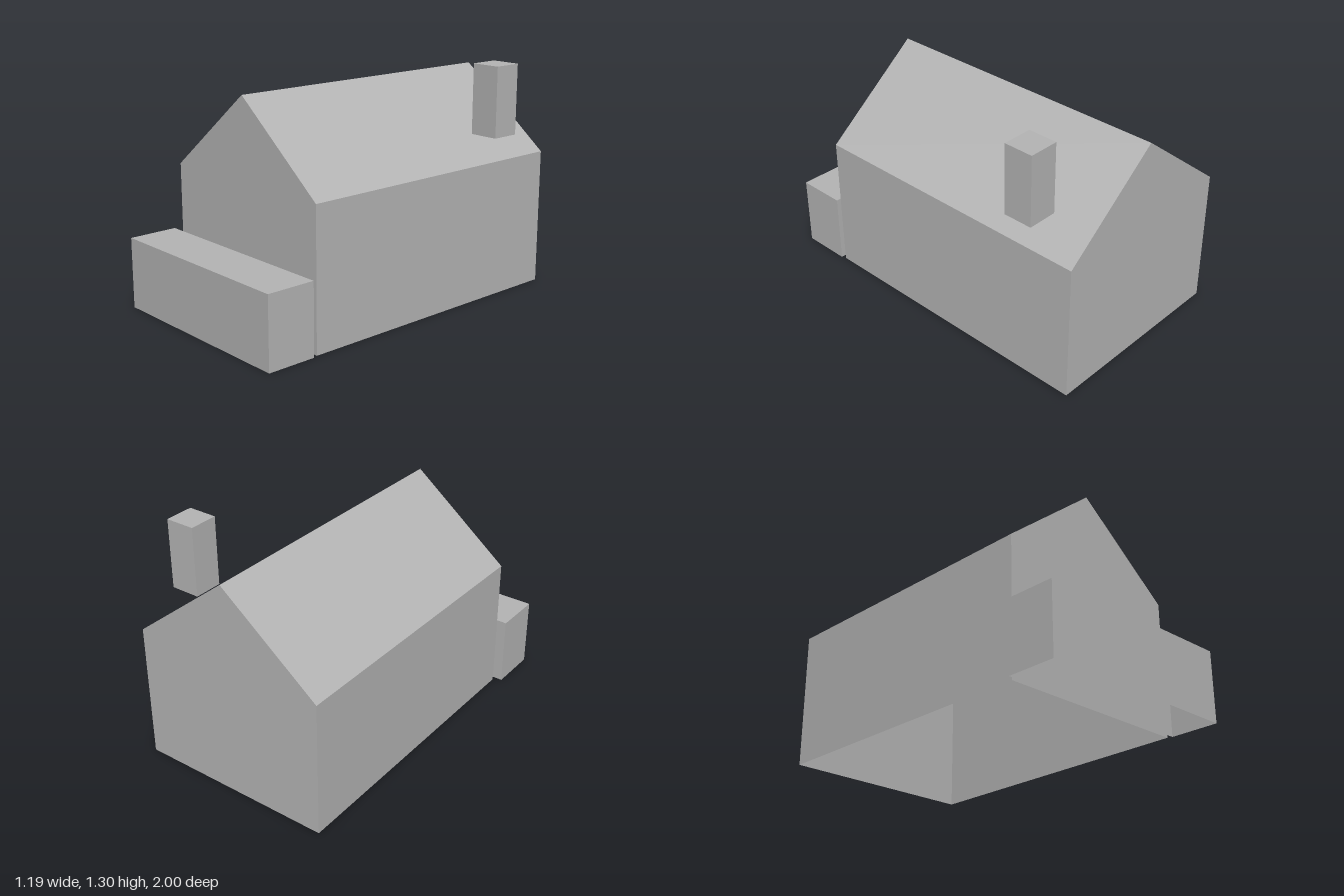
import * as THREE from 'three';
import { mergeGeometries } from 'three/addons/utils/BufferGeometryUtils.js';

// Hollow shell with an open underside: the profile runs counterclockwise
// from bottom right to bottom left and is swept from zBack to zFront.
function openShell(profile, zBack, zFront) {
  const shape = new THREE.Shape(profile.map(([x, y]) => new THREE.Vector2(x, y)));
  const front = new THREE.ShapeGeometry(shape).toNonIndexed().translate(0, 0, zFront);
  const back = new THREE.ShapeGeometry(shape).toNonIndexed();
  back.rotateY(Math.PI).scale(1, 1, 1);
  // Mirror the back outline so that it matches the front after turning
  const mirrored = new THREE.Shape(profile.map(([x, y]) => new THREE.Vector2(-x, y)).reverse());
  const rear = new THREE.ShapeGeometry(mirrored).toNonIndexed().rotateY(Math.PI).translate(0, 0, zBack);
  back.dispose();

  // Walls and roof planes between the two ends
  const sides = [];
  for (let i = 0; i < profile.length - 1; i++) {
    const [ax, ay] = profile[i];
    const [bx, by] = profile[i + 1];
    sides.push(ax, ay, zFront, ax, ay, zBack, bx, by, zBack);
    sides.push(ax, ay, zFront, bx, by, zBack, bx, by, zFront);
  }
  const walls = new THREE.BufferGeometry();
  walls.setAttribute('position', new THREE.Float32BufferAttribute(sides, 3));
  walls.computeVertexNormals();
  for (const g of [front, rear]) g.deleteAttribute('uv');
  return mergeGeometries([front, rear, walls]);
}

const boxProfile = (x0, x1, y0, y1) => [[x1, y0], [x1, y1], [x0, y1], [x0, y0]];

export function createModel() {
  const model = new THREE.Group();
  model.name = 'house';
  const grey = new THREE.MeshStandardMaterial({ color: 0xb4b4b4, side: THREE.DoubleSide });
  grey.name = 'plain grey';

  const add = (name, profile, zBack, zFront) => {
    const mesh = new THREE.Mesh(openShell(profile, zBack, zFront), grey);
    mesh.name = name;
    model.add(mesh);
  };

  // Gabled main building
  add('gabledHouse', [[0.583, 0], [0.583, 0.772], [0.017, 1.222], [-0.55, 0.772], [-0.55, 0]], -1, 0.695);
  // Low block in front of the gable
  add('frontPorch', boxProfile(-0.595, 0.592, 0, 0.397), 0.72, 1);
  // Chimney above the right-hand eave
  add('chimney', boxProfile(0.422, 0.592, 0.906, 1.3), -0.752, -0.585);

  return model;
}
